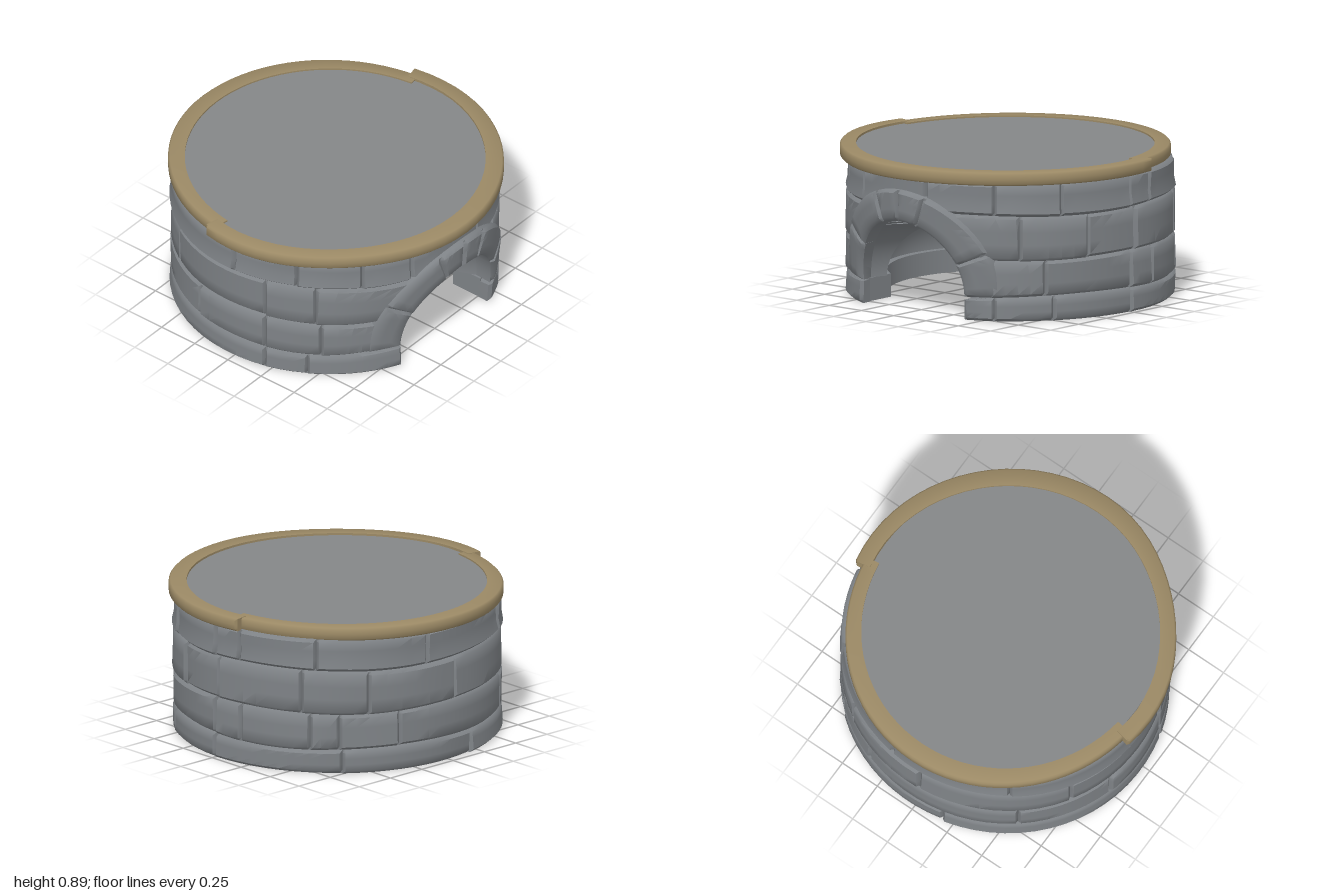
import * as THREE from 'three';
import { toCreasedNormals } from 'three/addons/utils/BufferGeometryUtils.js';

const RAD = Math.PI / 180;
const ARCH_Y = 0.14; // springing height of the arch

export function createModel() {
  const model = new THREE.Group();
  model.name = 'roundStoneBase';

  const stone = new THREE.MeshStandardMaterial({ color: 0x7e8286, side: THREE.DoubleSide });
  stone.name = 'grey stone';
  const floor = new THREE.MeshStandardMaterial({ color: 0x848688 });
  floor.name = 'floor grey';
  const trim = new THREE.MeshStandardMaterial({ color: 0x9b8965 });
  trim.name = 'tan trim';

  let seed = 7;
  const rand = () => (seed = (seed * 16807) % 2147483647) / 2147483647;
  const add = (parent, name, geo, mat) => {
    const mesh = new THREE.Mesh(geo, mat);
    mesh.name = name;
    parent.add(mesh);
    return mesh;
  };
  const group = (name) => {
    const g = new THREE.Group();
    g.name = name;
    model.add(g);
    return g;
  };

  // Box wrapped round the axis: map(u, v, inner) gives [angle, height], outer edges are bevelled
  function curvedBlock(map, rIn, rOut, nu, nv, bevelU, bevelV, drop) {
    const geo = new THREE.BoxGeometry(1, 1, 1, nu, nv, 1);
    const p = geo.attributes.position;
    const spread = (i, n, b) => (i === 0 ? 0 : i === n ? 1 : b + ((1 - 2 * b) * (i - 1)) / (n - 2));
    for (let k = 0; k < p.count; k++) {
      const i = Math.round((p.getX(k) + 0.5) * nu);
      const j = Math.round((p.getY(k) + 0.5) * nv);
      const u = spread(i, nu, bevelU), v = spread(j, nv, bevelV);
      const outer = p.getZ(k) > 0;
      const [a, y] = map(u, v, !outer);
      const edge = i === 0 || i === nu || j === 0 || j === nv;
      const r = outer ? rOut(a, y, u, v) - (edge ? drop : 0) : rIn(a, y);
      p.setXYZ(k, r * Math.sin(a), y, r * Math.cos(a));
    }
    return toCreasedNormals(geo, 0.85);
  }

  // Each stone gets its own slightly uneven corner radii
  function roughFace(base, amount) {
    const c = [0, 0, 0, 0].map(() => (rand() - 0.5) * amount);
    return (a, y, u, v) =>
      base(a, y) + (c[0] * (1 - u) + c[1] * u) * (1 - v) + (c[2] * (1 - u) + c[3] * u) * v;
  }

  // Wall bulges to the back left, and leans in at the foot of the front
  const wallRadius = (a, y) => {
    const d = a - 135 * RAD;
    const lean = 0.03 * Math.max(0, Math.cos(a)) ** 4 * Math.max(0, 1 - y / 0.6);
    return 0.966 + 0.027 * Math.cos(d) + 0.006 * Math.cos(3 * d) - lean - (y > 0.66 ? 0.01 : 0);
  };
  const archRadius = (a, y) => 0.937 + 0.08 * (y - ARCH_Y) + 0.03 * Math.sin(a);

  // Half-width of the opening at a height, for an ellipse of half-axes a, b
  const openingX = (y, a, b, leg) =>
    y <= ARCH_Y ? leg : a * Math.sqrt(Math.max(0, 1 - ((y - ARCH_Y) / b) ** 2));

  // Courses of wall stones: joint angles in degrees from the front towards the left
  const courses = [
    { y: [0, 0.145], joints: [0, 37, 58, 90, 139, 191, 283, 299, 360] },
    { y: [0.145, 0.365], joints: [0, 55, 90, 102, 128, 138, 159, 218, 253, 283, 304, 360] },
    { y: [0.365, 0.625], joints: [0, 46, 71, 92, 125, 148, 182, 237, 283, 302, 360] },
    { y: [0.625, 0.82], joints: [11, 37, 61, 90, 101, 130, 170, 215, 270, 295, 319, 338, 371] },
  ];
  const wave = (y, a) => (y > 0.1 && y < 0.7 ? y + 0.007 * Math.sin(a * 4 + y * 20) : y);
  const wall = group('wall');
  courses.forEach(({ y: [y0, y1], joints }, row) => {
    for (let n = 0; n < joints.length - 1; n++) {
      const a0 = joints[n] * RAD, a1 = joints[n + 1] * RAD;
      const map = (u, v, inner) => {
        const yy = y0 + (y1 - y0) * v;
        // Stones next to the opening follow its curve
        const e = row < 3 ? Math.asin(openingX(yy, 0.54, 0.52, 0.4) / (inner ? 0.85 : 0.92)) : 0;
        const s = row < 3 && n === 0 ? e : a0;
        const t = row < 3 && n === joints.length - 2 ? 2 * Math.PI - e : a1;
        const a = s + (t - s) * u;
        if (row < 3) return [a, wave(y0, a) * (1 - v) + wave(y1, a) * v];
        const x = Math.cos(a) > 0 ? Math.abs(Math.sin(a)) * 0.96 : 1;
        const top = x < 0.55 ? ARCH_Y + 0.54 * Math.sqrt(1 - (x / 0.55) ** 2) : 0;
        const low = Math.max(wave(y0, a), top);
        return [a, low + (y1 - low) * v];
      };
      const span = map(1, 0.5)[0] - map(0, 0.5)[0];
      const nu = Math.max(5, Math.ceil(span / 0.1) + 2);
      const geo = curvedBlock(map, () => 0.85, roughFace(wallRadius, 0.018), nu, 5,
        Math.min(0.25, 0.017 / span), 0.018 / (y1 - y0), 0.02);
      add(wall, 'wallStone', geo, stone);
    }
  });

  // Wedge stones round the opening, their sides running straight back
  const arch = group('arch');
  const wedges = [180, 147, 108, 90, 72, 26, 0];
  for (let n = 0; n < wedges.length - 1; n++) {
    const map = (u, v, inner) => {
      const t = (wedges[n] + (wedges[n + 1] - wedges[n]) * u) * RAD;
      const x = (0.415 + 0.19 * v) * Math.cos(t);
      return [Math.asin(x / (inner ? 0.82 : 0.95)), ARCH_Y + (0.42 + 0.185 * v) * Math.sin(t)];
    };
    const span = (wedges[n] - wedges[n + 1]) * RAD * 0.52;
    const geo = curvedBlock(map, () => 0.82, roughFace(archRadius, 0.012), Math.ceil(span / 0.06) + 3, 5,
      0.018 / span, 0.1, 0.02);
    add(arch, 'archStone', geo, stone);
  }

  // Inner lining: a footing ring, and a dome above it pierced by a narrowing tunnel
  const lining = (name, y0, y1, rIn, nv) => {
    const map = (u, v, inner) => {
      const y = y0 + (y1 - y0) * v;
      const x = inner ? openingX(y, 0.37, 0.34, 0.4) : openingX(y, 0.425, 0.43, 0.4);
      const e = Math.asin(x / (inner ? rIn(0, y) : 0.87));
      return [e + (2 * Math.PI - 2 * e) * u, y];
    };
    add(model, name, curvedBlock(map, rIn, () => 0.87, 64, nv, 0.01, 0.02, 0), stone);
  };
  lining('footing', 0.002, ARCH_Y, () => 0.69, 3);
  lining('domeLining', ARCH_Y + 0.001, 0.61,
    (a, y) => 0.001 + 0.73 * Math.sqrt(Math.max(0, 1 - ((y - ARCH_Y) / 0.47) ** 2)), 30);

  // Flat top, almost level with the rim
  const top = add(model, 'topFloor', new THREE.CylinderGeometry(0.9, 0.9, 0.065, 64), floor);
  top.position.y = 0.845;

  // Rim in two halves, the back one set a little further in at its ends
  const rim = group('rim');
  const rimHalf = (name, d0, d1, rIn, rOut, y0, y1) => {
    const map = (u, v) => [(d0 + (d1 - d0) * u) * RAD, y0 + (y1 - y0) * v];
    add(rim, name, curvedBlock(map, rIn, rOut, 40, 4, 0.004, 0.14, 0.01), trim);
  };
  const back = (a) => Math.max(0, -Math.cos(a)) ** 2;
  const flat = (a) => (a < 0 ? 0.03 : 0.008) * Math.sin(2 * a) ** 2;
  rimHalf('frontRim', -101, 101, (a) => 0.905 - 0.025 * Math.max(0, Math.cos(a)) - 0.5 * flat(a),
    (a) => 1 - 0.006 * Math.cos(a) ** 2 - flat(a), 0.815, 0.89);
  rimHalf('backRim', 98, 262, (a) => 0.865 + 0.03 * back(a),
    (a) => 0.95 + 0.05 * back(a), 0.812, 0.887);

  return model;
}
